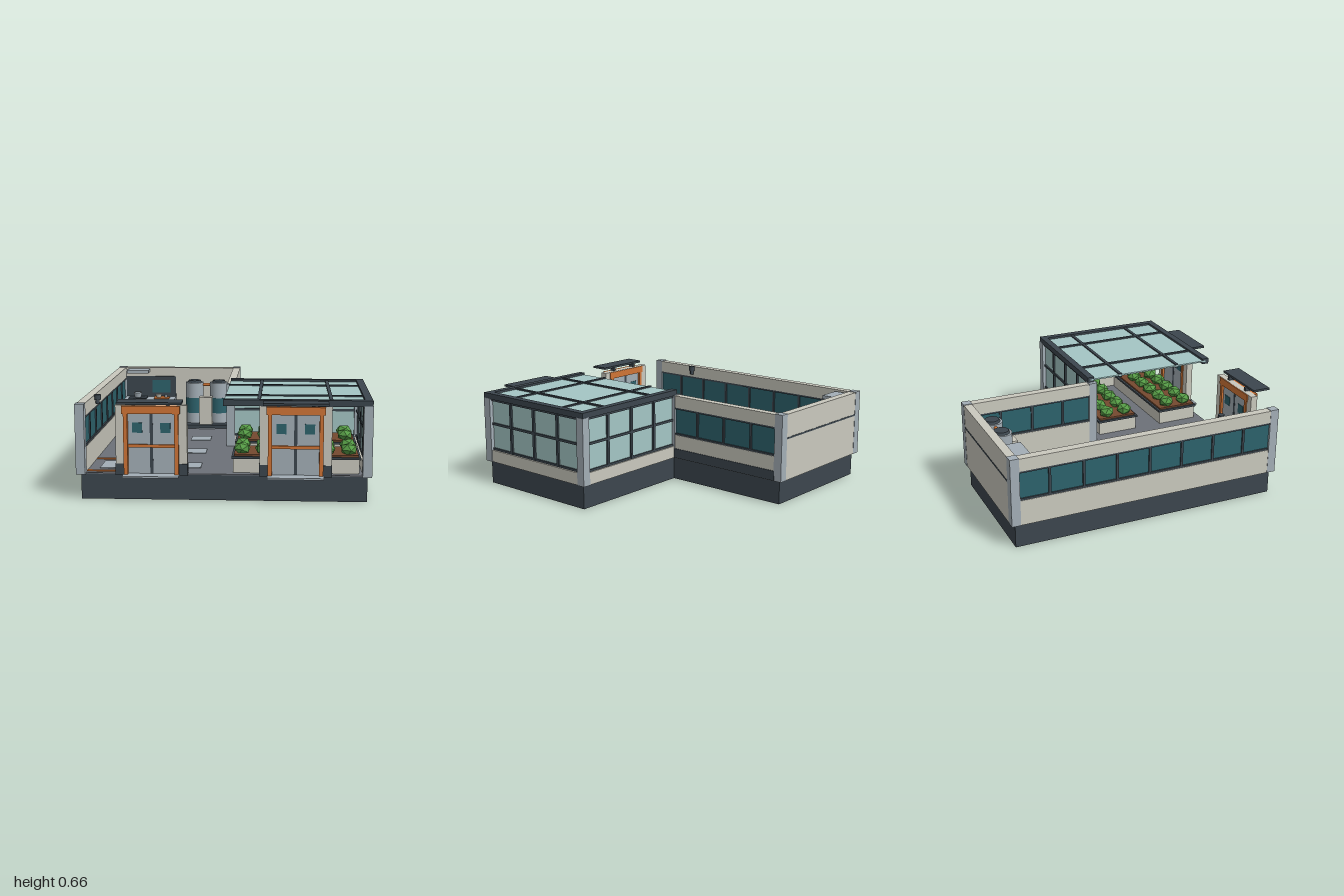
import * as THREE from 'three';

const mat = (name, color, o = {}) => {
  const m = new THREE.MeshStandardMaterial({ color, ...o });
  m.name = name;
  return m;
};

export function createModel() {
  const root = new THREE.Group();
  root.name = 'building';
  const cream = mat('cream', 0xcac9be);
  const slate = mat('slate', 0x3c464e);
  const steel = mat('steel', 0xa3aeb6);
  const floorGrey = mat('floorGrey', 0x6c7178);
  const orange = mat('orange', 0xd07536);
  const teal = mat('teal', 0x2d626c);
  const glass = mat('paleGlass', 0xa4c6c5);
  const green = mat('leafGreen', 0x559a45, { flatShading: true });
  const soil = mat('soil', 0x75492f);

  const group = (name, parent = root) => {
    const g = new THREE.Group();
    g.name = name;
    parent.add(g);
    return g;
  };
  // Box given by its extents on each axis
  const box = (p, name, m, x0, x1, y0, y1, z0, z1) => {
    const b = new THREE.Mesh(new THREE.BoxGeometry(x1 - x0, y1 - y0, z1 - z0), m);
    b.position.set((x0 + x1) / 2, (y0 + y1) / 2, (z0 + z1) / 2);
    b.name = name;
    p.add(b);
    return b;
  };
  const cyl = (p, name, m, r, x, y0, y1, z, r2 = r) => {
    const c = new THREE.Mesh(new THREE.CylinderGeometry(r2, r, y1 - y0, 24), m);
    c.position.set(x, (y0 + y1) / 2, z);
    c.name = name;
    p.add(c);
    return c;
  };

  // L-shaped foundation and floors
  const base = group('foundation');
  box(base, 'mainBase', slate, -0.92, 0, 0, 0.165, -0.97, 0.87);
  box(base, 'sideBase', slate, 0, 0.92, 0, 0.165, -0.05, 0.87);
  box(base, 'mainFloor', floorGrey, -0.92, 0, 0.165, 0.172, -0.97, 0.87);
  box(base, 'sideFloor', floorGrey, 0, 0.92, 0.165, 0.172, -0.05, 0.87);

  // Floor tiles, mat and stripes
  const marks = group('floorMarkings');
  for (const x of [-0.69, -0.233])
    for (const z of [-0.745, -0.285, 0.173, 0.633])
      if (!(x < -0.5 && z > 0.5)) box(marks, 'floorTile', steel, x - 0.073, x + 0.073, 0.172, 0.176, z - 0.073, z + 0.073);
  box(marks, 'entranceMat', steel, -0.82, -0.565, 0.172, 0.177, 0.53, 0.74);
  for (const z of [0.455, 0.815]) box(marks, 'floorStripe', orange, -0.89, -0.495, 0.172, 0.178, z - 0.015, z + 0.015);

  // Solid walls with a continuous window band
  const windowWall = (name, x, z0, z1, panes) => {
    const g = group(name);
    box(g, 'lowerWall', cream, x - 0.028, x + 0.028, 0.165, 0.335, z0, z1);
    box(g, 'upperWall', cream, x - 0.028, x + 0.028, 0.535, 0.62, z0, z1);
    box(g, 'windowPane', teal, x - 0.015, x + 0.015, 0.335, 0.535, z0, z1);
    const step = (z1 - z0) / panes;
    for (let i = 0; i <= panes; i++) {
      const z = z0 + i * step;
      box(g, 'mullion', slate, x - 0.024, x + 0.024, 0.335, 0.535, z - 0.008, z + 0.008);
    }
    for (const y of [0.341, 0.529]) box(g, 'windowRail', slate, x - 0.025, x + 0.025, y - 0.007, y + 0.007, z0, z1);
    return g;
  };
  windowWall('outerWall', -0.92, -0.97, 0.865, 8);
  const inner = windowWall('innerWall', 0, -0.97, -0.05, 4);
  box(inner, 'plinth', slate, 0, 0.033, 0.168, 0.235, -0.945, -0.075);
  const back = group('backWall');
  box(back, 'backWallPanel', cream, -0.92, 0, 0.165, 0.62, -0.998, -0.942);
  box(back, 'backWallSeam', slate, -0.89, -0.03, 0.45, 0.462, -1, -0.99);

  // Corner posts
  const posts = group('cornerPosts');
  for (const [x, z] of [[-0.92, 0.865], [-0.92, -0.97], [0, -0.97], [0, -0.05], [0.917, -0.05], [0.917, 0.865]])
    box(posts, 'cornerPost', steel, x - 0.03, x + 0.03, 0.165, 0.624, z - 0.03, z + 0.03);

  // Glasshouse: side and rear glazing
  const house = group('glasshouse');
  box(house, 'sideSill', cream, 0.89, 0.942, 0.165, 0.25, -0.03, 0.85);
  box(house, 'rearSill', cream, 0.02, 0.9, 0.165, 0.25, -0.075, -0.025);
  box(house, 'sideGlass', glass, 0.908, 0.92, 0.25, 0.62, -0.03, 0.85);
  box(house, 'rearGlass', glass, 0.02, 0.9, 0.25, 0.62, -0.056, -0.044);
  for (const y of [0.257, 0.44, 0.612]) {
    box(house, 'sideRail', slate, 0.9, 0.93, y - 0.008, y + 0.008, -0.03, 0.85);
    box(house, 'rearRail', slate, 0.02, 0.9, y - 0.008, y + 0.008, -0.066, -0.034);
  }
  for (const c of [0.18, 0.41, 0.64]) {
    box(house, 'sideMullion', slate, 0.898, 0.932, 0.25, 0.62, c - 0.01, c + 0.01);
    box(house, 'rearMullion', slate, c + 0.045, c + 0.065, 0.25, 0.62, -0.068, -0.032);
  }

  // Glazed roof with edge beams and bars
  const roof = group('glassRoof');
  box(roof, 'roofGlass', glass, 0, 0.92, 0.635, 0.645, -0.06, 0.87);
  box(roof, 'frontBeam', slate, 0, 0.945, 0.62, 0.66, 0.845, 0.893);
  box(roof, 'rearBeam', slate, 0, 0.945, 0.62, 0.66, -0.078, -0.03);
  box(roof, 'sideBeam', slate, 0.895, 0.945, 0.62, 0.66, -0.078, 0.893);
  for (const x of [0.225, 0.685]) box(roof, 'roofBar', slate, x - 0.011, x + 0.011, 0.626, 0.655, -0.05, 0.86);
  for (const z of [0.175, 0.63]) box(roof, 'roofBar', slate, 0, 0.91, 0.626, 0.654, z - 0.011, z + 0.011);

  // Planting beds with low-poly shrubs
  for (const [z0, z1] of [[0.04, 0.33], [0.53, 0.82]]) {
    const bed = group('plantingBed');
    box(bed, 'planterBox', cream, 0.06, 0.87, 0.17, 0.265, z0, z1);
    box(bed, 'planterRim', slate, 0.05, 0.88, 0.265, 0.28, z0 - 0.01, z1 + 0.01);
    box(bed, 'soilBed', soil, 0.065, 0.865, 0.28, 0.292, z0 + 0.005, z1 - 0.005);
    for (let i = 0; i < 6; i++)
      for (let j = 0; j < 2; j++) {
        const s = new THREE.Mesh(new THREE.IcosahedronGeometry(0.058, 0), green);
        s.name = 'shrub';
        s.scale.y = 0.75;
        s.rotation.y = i * 1.3 + j;
        s.position.set(0.115 + i * 0.138, 0.32, z0 + 0.08 + j * 0.14);
        bed.add(s);
      }
  }

  // Double doors in wall portals with canopy and doorstep
  for (const cx of [-0.46, 0.46]) {
    const d = group('entrance');
    d.position.x = cx;
    for (const s of [-1, 1]) {
      const side = (name, m, a, b, y0, y1, z0, z1) =>
        box(d, name, m, Math.min(s * a, s * b), Math.max(s * a, s * b), y0, y1, z0, z1);
      side('portalWall', cream, 0.16, 0.23, 0.165, 0.62, 0.842, 0.89);
      side('portalPlinth', slate, 0.17, 0.232, 0.165, 0.24, 0.838, 0.895);
      side('doorJamb', orange, 0.15, 0.176, 0.165, 0.58, 0.835, 0.915);
      side('doorLeaf', steel, 0.01, 0.15, 0.17, 0.565, 0.85, 0.88);
      side('doorWindow', teal, 0.058, 0.122, 0.44, 0.505, 0.846, 0.884);
      side('canopyBracket', slate, 0.1, 0.12, 0.615, 0.645, 0.86, 0.9);
    }
    box(d, 'portalHead', cream, -0.23, 0.23, 0.57, 0.62, 0.842, 0.89);
    box(d, 'doorLintel', orange, -0.186, 0.186, 0.568, 0.618, 0.835, 0.918);
    box(d, 'doorSeam', slate, -0.01, 0.01, 0.17, 0.565, 0.849, 0.881);
    box(d, 'pushBar', orange, -0.15, 0.15, 0.345, 0.365, 0.87, 0.892);
    box(d, 'canopy', slate, -0.205, 0.205, 0.64, 0.655, 0.875, 1);
    box(d, 'doorstep', steel, -0.18, 0.18, 0.163, 0.174, 0.85, 0.97);
  }

  // Kitchen counter along the back wall
  const k = group('kitchen');
  box(k, 'cabinet', cream, -0.89, -0.495, 0.17, 0.362, -0.942, -0.775);
  box(k, 'cabinetStripe', orange, -0.89, -0.495, 0.34, 0.352, -0.78, -0.77);
  for (const x of [-0.79, -0.69, -0.59]) box(k, 'cabinetGap', slate, x - 0.003, x + 0.003, 0.19, 0.335, -0.78, -0.773);
  box(k, 'worktop', steel, -0.89, -0.49, 0.362, 0.385, -0.942, -0.765);
  box(k, 'backsplash', slate, -0.89, -0.49, 0.385, 0.55, -0.945, -0.934);
  box(k, 'wallScreen', teal, -0.68, -0.535, 0.42, 0.52, -0.936, -0.928);
  box(k, 'hood', steel, -0.873, -0.7, 0.585, 0.61, -0.942, -0.84);
  box(k, 'hob', slate, -0.86, -0.715, 0.385, 0.392, -0.9, -0.8);
  cyl(k, 'cookingPot', steel, 0.026, -0.79, 0.392, 0.43, -0.86, 0.034);
  box(k, 'choppingBoard', orange, -0.655, -0.535, 0.385, 0.395, -0.885, -0.8);
  cyl(k, 'bowl', cream, 0.018, -0.62, 0.395, 0.42, -0.84, 0.026);
  cyl(k, 'cup', steel, 0.012, -0.562, 0.395, 0.415, -0.845);

  // Twin storage tanks on a plinth
  const t = group('tanks');
  box(t, 'tankPlatform', slate, -0.415, -0.045, 0.17, 0.2, -0.942, -0.685);
  for (const x of [-0.33, -0.137]) {
    cyl(t, 'tankBody', steel, 0.07, x, 0.2, 0.52, -0.84);
    cyl(t, 'tankBand', teal, 0.073, x, 0.28, 0.4, -0.84);
    cyl(t, 'tankLid', slate, 0.055, x, 0.52, 0.536, -0.84, 0.048);
  }
  const pipe = cyl(t, 'linkPipe', orange, 0.012, -0.233, 0.44, 0.56, -0.84);
  pipe.rotation.z = Math.PI / 2;
  box(t, 'controlBox', cream, -0.285, -0.183, 0.2, 0.415, -0.78, -0.712);

  // Small wall-mounted lamp
  const lamp = group('wallLamp');
  cyl(lamp, 'lampStem', slate, 0.013, -0.87, 0.56, 0.62, 0.5);
  cyl(lamp, 'lampCap', slate, 0.022, -0.87, 0.59, 0.625, 0.5);

  return root;
}
